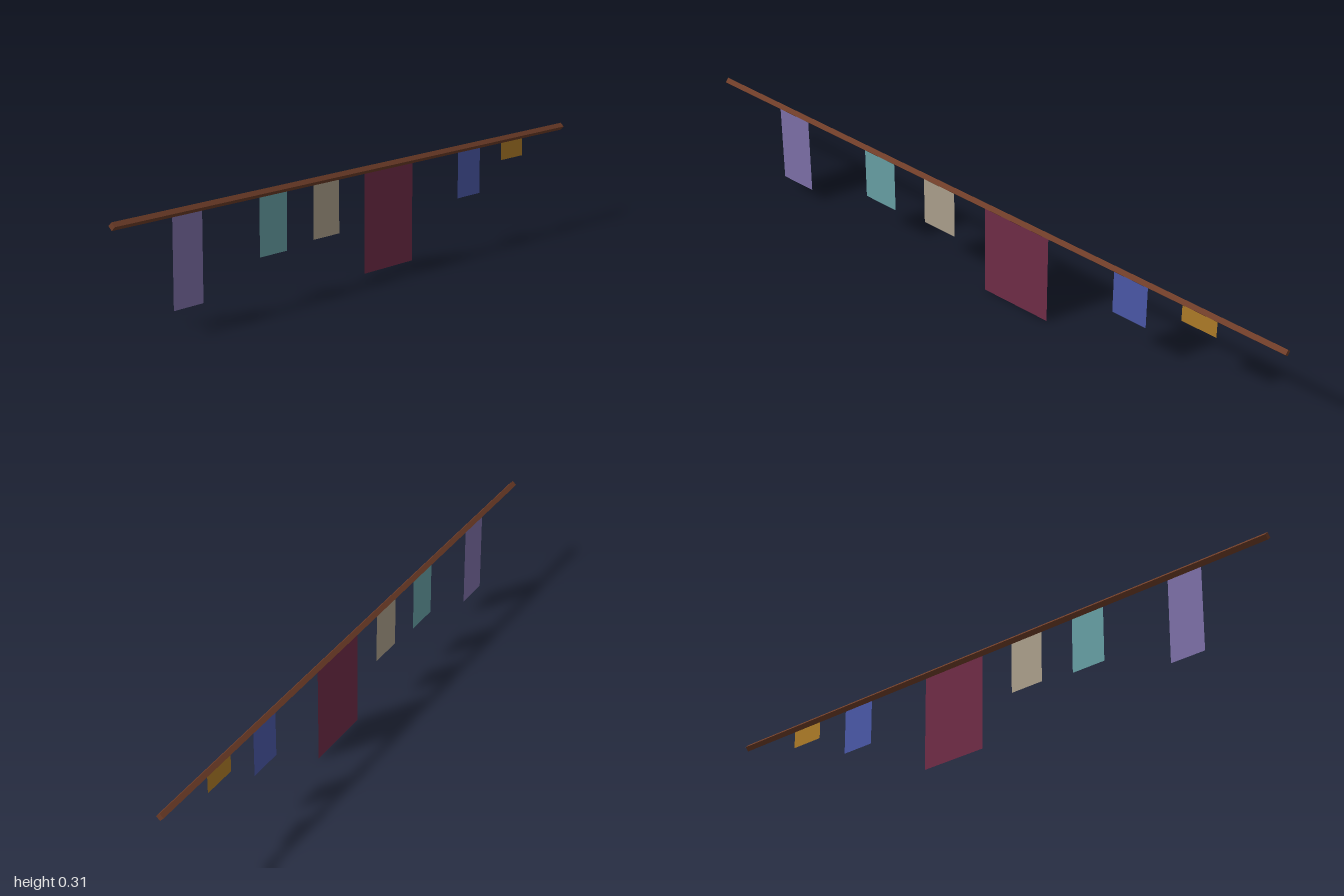
import * as THREE from 'three';

const ROD_Y = 0.299;
const ROD_RADIUS = 0.011;
const UNIT = 0.112; // width of a narrow banner

// name, left edge and width in units, bottom height, colour
const BANNERS = [
  ['purpleBanner', -7, 1, 0.043, 0x7d70a8],
  ['tealBanner', -4, 1, 0.125, 0x67a0a5],
  ['beigeBanner', -2, 1, 0.136, 0xaca08c],
  ['maroonBanner', 0, 2, 0, 0x702c47],
  ['blueBanner', 4, 1, 0.15, 0x4a58a8],
  ['ochreBanner', 6, 1, 0.235, 0xae7c28],
];

export function createModel() {
  const model = new THREE.Group();
  model.name = 'hangingBanners';

  // Four-sided rod with its edges facing up, down, front and back
  const rod = new THREE.Mesh(
    new THREE.CylinderGeometry(ROD_RADIUS, ROD_RADIUS, 2, 4).rotateZ(Math.PI / 2),
    new THREE.MeshStandardMaterial({ color: 0x6f3d28, flatShading: true })
  );
  rod.name = 'rod';
  rod.position.y = ROD_Y;
  model.add(rod);

  // Thin cloth panels hanging from the middle of the rod
  for (const [name, left, units, bottom, color] of BANNERS) {
    const width = units * UNIT;
    const height = ROD_Y - bottom;
    const banner = new THREE.Mesh(
      new THREE.PlaneGeometry(width, height),
      new THREE.MeshStandardMaterial({ color, side: THREE.DoubleSide })
    );
    banner.name = name;
    banner.position.set(left * UNIT + width / 2, bottom + height / 2, 0);
    model.add(banner);
  }
  return model;
}
